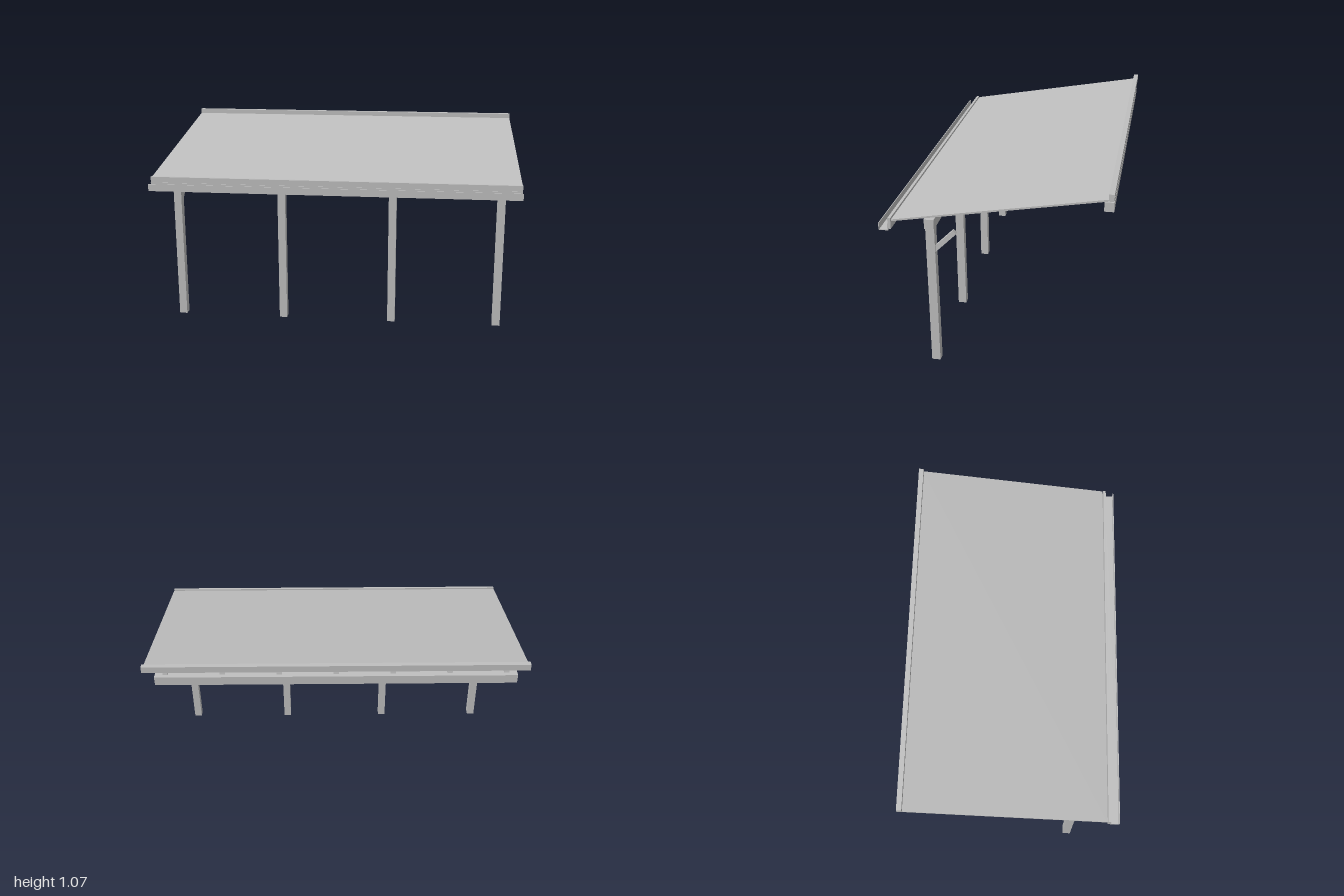
import * as THREE from 'three';

export function createModel() {
  const group = new THREE.Group();
  group.name = 'leanToCanopy';
  const grey = new THREE.MeshStandardMaterial({ color: 0xbfbfbf });
  grey.name = 'plain grey';

  const add = (name, geometry) => {
    const mesh = new THREE.Mesh(geometry, grey);
    mesh.name = name;
    group.add(mesh);
  };

  // Box given by its centre x, width, and y and z limits
  const box = (name, x, width, y0, y1, z0, z1) => {
    const g = new THREE.BoxGeometry(width, y1 - y0, z1 - z0);
    add(name, g.translate(x, (y0 + y1) / 2, (z0 + z1) / 2));
  };

  // Side profile of [z, y] points, extruded along x and centred on x
  const profile = (name, x, width, points) => {
    const shape = new THREE.Shape(points.map(([z, y]) => new THREE.Vector2(z, y)));
    const g = new THREE.ExtrudeGeometry(shape, { depth: width, bevelEnabled: false });
    add(name, g.rotateY(-Math.PI / 2).translate(x + width / 2, 0, 0));
  };

  // Posts with diagonal braces
  for (const x of [-0.907, -0.312, 0.312, 0.907]) {
    box('post', x, 0.043, 0, 0.782, 0.317, 0.363);
    profile('brace', x, 0.024, [[0.317, 0.647], [0.317, 0.682], [0.225, 0.774], [0.207, 0.756]]);
  }

  // Beams carrying the rafters
  box('frontBeam', 0, 1.88, 0.782, 0.835, 0.315, 0.365);
  box('backBeam', 0, 1.88, 0.949, 0.998, -0.575, -0.527);

  // Sloping rafters, evenly spaced
  for (let i = -3; i <= 3; i++) {
    profile('rafter', i * 0.295, 0.027,
      [[0.449, 0.8535], [0.442, 0.8135], [-0.555, 0.989], [-0.548, 1.029]]);
  }

  // Roof sheet
  profile('roofSheet', 0, 2, [[0.512, 0.8425], [0.513, 0.852], [-0.554, 1.04], [-0.555, 1.0305]]);

  // Ridge strip at the back and fascia board at the front
  box('ridgeStrip', 0, 2, 1.03, 1.066, -0.578, -0.551);
  box('fascia', 0, 2, 0.8, 0.858, 0.517, 0.532);

  // Open gutter with thin walls
  profile('gutter', 0, 2, [
    [0.531, 0.827], [0.531, 0.79], [0.581, 0.79], [0.581, 0.828],
    [0.577, 0.828], [0.577, 0.794], [0.535, 0.794], [0.535, 0.827],
  ]);

  return group;
}
